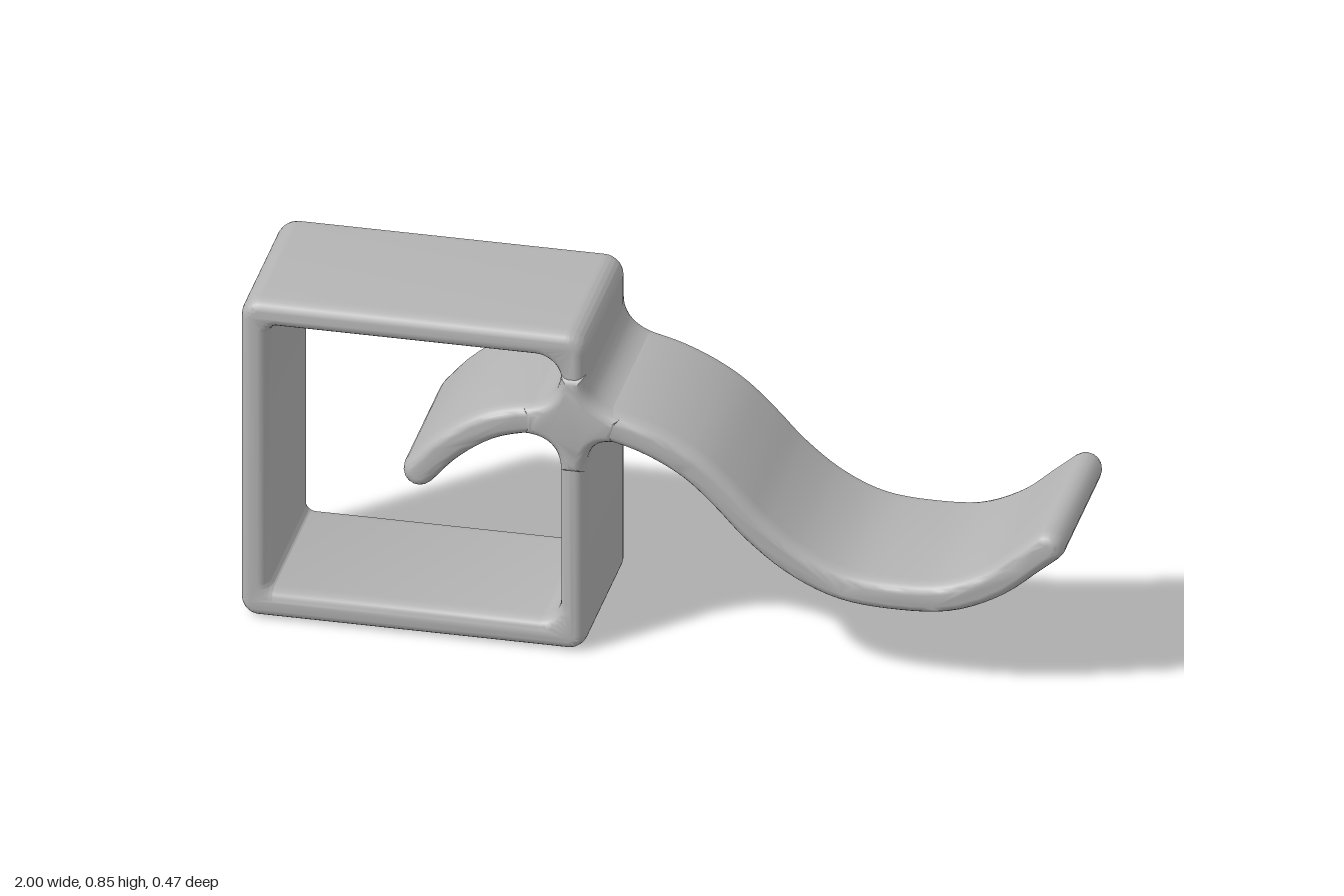
import * as THREE from 'three';
import { toCreasedNormals } from 'three/addons/utils/BufferGeometryUtils.js';

const grey = new THREE.MeshStandardMaterial({ color: 0xb4b4b4 });
grey.name = 'plain grey';

// Extrude an outline along z, centred, with softly rounded rims
function slab(name, shape, halfDepth, rim = 0.025, rimDepth = 0.04) {
  const geo = new THREE.ExtrudeGeometry(shape, {
    depth: 2 * (halfDepth - rimDepth),
    bevelEnabled: true,
    bevelSize: rim,
    bevelOffset: -rim,
    bevelThickness: rimDepth,
    bevelSegments: 5,
    curveSegments: 10,
  });
  geo.translate(0, 0, -(halfDepth - rimDepth));
  const mesh = new THREE.Mesh(toCreasedNormals(geo, 0.7), grey);
  mesh.name = name;
  return mesh;
}

// Rectangle with its own radius at each corner: bottom left, bottom right, top right, top left
function roundedRect(path, x0, y0, x1, y1, [bl, br, tr, tl]) {
  path.moveTo(x0 + bl, y0);
  path.lineTo(x1 - br, y0);
  path.absarc(x1 - br, y0 + br, br, -Math.PI / 2, 0);
  path.lineTo(x1, y1 - tr);
  path.absarc(x1 - tr, y1 - tr, tr, 0, Math.PI / 2);
  path.lineTo(x0 + tl, y1);
  path.absarc(x0 + tl, y1 - tl, tl, Math.PI / 2, Math.PI);
  path.lineTo(x0, y0 + bl);
  path.absarc(x0 + bl, y0 + bl, bl, Math.PI, Math.PI * 1.5);
  return path;
}

// Outline of a band of constant thickness around a centre line, with round ends
function bandShape(points, radius) {
  const curve = new THREE.CatmullRomCurve3(points.map(([x, y]) => new THREE.Vector3(x, y, 0)));
  const steps = 64, capSteps = 8;
  const upper = [], lower = [];
  const offset = (t, angle) => {
    const p = curve.getPointAt(t), d = curve.getTangentAt(t);
    const a = Math.atan2(d.y, d.x) + angle;
    return new THREE.Vector2(p.x + radius * Math.cos(a), p.y + radius * Math.sin(a));
  };
  for (let i = 0; i <= steps; i++) {
    lower.push(offset(i / steps, -Math.PI / 2));
    upper.unshift(offset(i / steps, Math.PI / 2));
  }
  const cap = (t, start) => Array.from({ length: capSteps - 1 },
    (_, i) => offset(t, start + Math.PI * (i + 1) / capSteps));
  return new THREE.Shape([...lower, ...cap(1, -Math.PI / 2), ...upper, ...cap(0, Math.PI / 2)]);
}

export function createModel() {
  const model = new THREE.Group();
  model.name = 'frameWithWave';

  // Open square frame
  const frame = roundedRect(new THREE.Shape(), -1, 0, -0.16, 0.85, [0.045, 0.045, 0.05, 0.05]);
  frame.holes.push(roundedRect(new THREE.Path(), -0.93, 0.075, -0.225, 0.78, [0.02, 0.05, 0.06, 0.02]));
  model.add(slab('squareFrame', frame, 0.222));

  // Wavy band passing through the frame's wall
  const wave = bandShape([
    [-0.566, 0.437], [-0.5, 0.51], [-0.4, 0.58], [-0.3, 0.61], [-0.2, 0.618],
    [-0.1, 0.61], [0, 0.58], [0.1, 0.525], [0.18, 0.452], [0.25, 0.378],
    [0.35, 0.3], [0.46, 0.252], [0.59, 0.24], [0.72, 0.252], [0.83, 0.303],
    [0.91, 0.37], [0.96, 0.413],
  ], 0.04);
  model.add(slab('wavyBand', wave, 0.229));

  // Filleted cross where the band meets the wall
  const cross = new THREE.Shape();
  cross.moveTo(-0.162, 0.74);
  cross.quadraticCurveTo(-0.162, 0.66, -0.07, 0.642);
  cross.lineTo(-0.09, 0.57);
  cross.quadraticCurveTo(-0.162, 0.572, -0.162, 0.48);
  cross.lineTo(-0.223, 0.48);
  cross.quadraticCurveTo(-0.223, 0.57, -0.31, 0.57);
  cross.lineTo(-0.315, 0.646);
  cross.quadraticCurveTo(-0.223, 0.66, -0.223, 0.74);
  cross.closePath();
  model.add(slab('crossJoint', cross, 0.233));

  return model;
}
